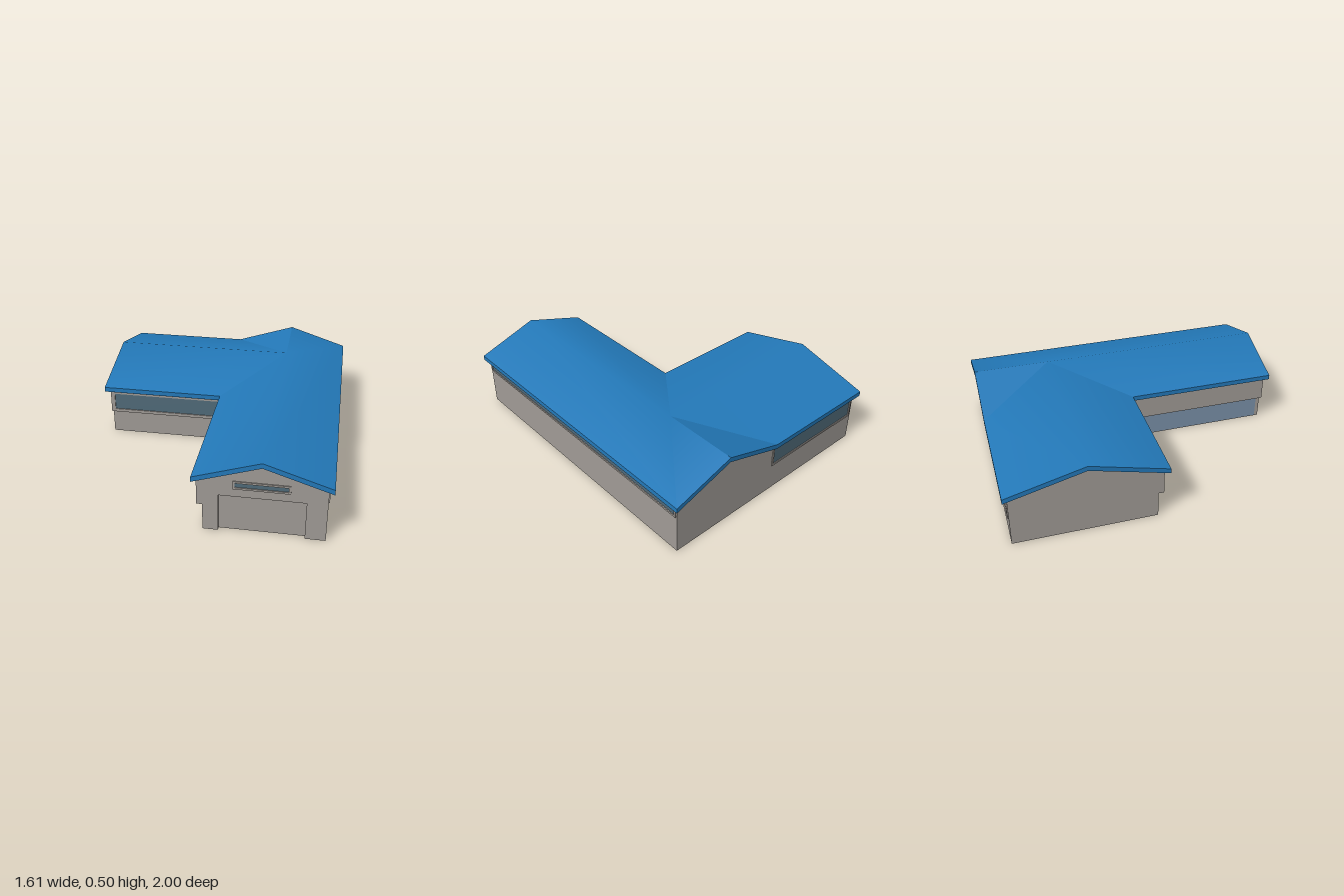
import * as THREE from 'three';

const mat = (name, color, side = THREE.DoubleSide) => {
  const m = new THREE.MeshStandardMaterial({ color, side });
  m.name = name;
  return m;
};

export function createModel() {
  const model = new THREE.Group();
  model.name = 'house';
  const wallMat = mat('warm grey wall', 0xa09b96);
  const glassMat = mat('dark window glass', 0x506a79);
  const paleGlassMat = mat('pale window glass', 0x7a90a8);
  const roofMat = mat('blue roof', 0x2379b9, THREE.FrontSide);

  const add = (name, geometry, material, parent = model) => {
    const mesh = new THREE.Mesh(geometry, material);
    mesh.name = name;
    parent.add(mesh);
    return mesh;
  };
  const polygon = (pts) => new THREE.Shape(pts.map(([u, v]) => new THREE.Vector2(u, v)));
  const rect = (u0, v0, u1, v1) => polygon([[u0, v0], [u1, v0], [u1, v1], [u0, v1]]);

  // Group whose local x runs along world x (facing z) or along world z (facing x)
  const plane = (name, axis, offset) => {
    const g = new THREE.Group();
    g.name = name;
    if (axis === 'x') {
      g.rotation.y = -Math.PI / 2;
      g.position.x = offset;
    } else g.position.z = offset;
    model.add(g);
    return g;
  };

  // Thin wall with framed windows and plain openings, given as [u0, v0, u1, v1]
  const wall = (name, axis, offset, pts, windows = [], openings = []) => {
    const g = plane(name, axis, offset);
    const shape = polygon(pts);
    [...windows, ...openings].forEach((r) => shape.holes.push(rect(...r)));
    add(name + 'Panel', new THREE.ShapeGeometry(shape), wallMat, g);
    windows.forEach(([u0, v0, u1, v1]) => {
      const b = 0.012;
      const frame = rect(u0, v0, u1, v1);
      frame.holes.push(rect(u0 + b, v0 + b, u1 - b, v1 - b));
      const geo = new THREE.ExtrudeGeometry(frame, { depth: 0.012, bevelEnabled: false });
      add('windowFrame', geo.translate(0, 0, -0.006), wallMat, g);
      add('windowGlass', new THREE.ShapeGeometry(rect(u0 + b, v0 + b, u1 - b, v1 - b)), glassMat, g);
    });
    return g;
  };

  const W = 0.775, E = 0.97, R = 0.403;   // wall half width, wall end, ridge line
  const step = 0.172, top = 0.348, peak = 0.47;
  const up = 0.025, low = 0.06;           // inner faces of upper band and recessed base

  // Front gable with garage opening
  wall('frontGable', 'z', E,
    [[low, 0], [W, 0], [W, top], [R, peak], [up, top], [up, step], [low, step]],
    [[0.235, 0.298, 0.565, 0.35]], [[0.152, 0, 0.655, 0.245]]);

  // Recessed garage door and its jambs
  const door = plane('garageDoor', 'z', E - 0.025);
  add('doorPanel', new THREE.ShapeGeometry(rect(0.152, 0, 0.655, 0.245)), wallMat, door);
  [0.152, 0.655].forEach((x) => {
    const jamb = add('doorJamb', new THREE.PlaneGeometry(0.025, 0.245), wallMat, door);
    jamb.rotation.y = Math.PI / 2;
    jamb.position.set(x, 0.1225, 0.0125);
  });
  const lintel = add('doorLintel', new THREE.PlaneGeometry(0.503, 0.025), wallMat, door);
  lintel.rotation.x = Math.PI / 2;
  lintel.position.set(0.4035, 0.245, 0.0125);

  // Back wall, long side wall and side gable
  wall('backWall', 'z', -E,
    [[-W, 0], [W, 0], [W, top], [R, peak], [0.03, top], [-W, top]],
    [[-0.76, 0.185, 0.0, 0.325]]);
  wall('longSideWall', 'x', W, [[-E, 0], [E, 0], [E, top], [-E, top]],
    [[-0.96, 0.257, 0.962, 0.33]]);
  wall('sideGable', 'x', -W,
    [[-E, 0], [-0.065, 0], [-0.065, step], [-0.03, step], [-0.03, top], [-0.5, peak], [-E, top]]);

  // Courtyard walls: overhanging upper bands over recessed bases
  wall('courtyardUpperBand', 'z', -0.03, [[-W, step], [up, step], [up, top], [-W, top]],
    [[-0.757, 0.185, 0.006, 0.325]]);
  wall('courtyardBase', 'z', -0.065, [[-W, 0], [low, 0], [low, step], [-W, step]]);
  wall('wingUpperBand', 'x', up, [[-0.03, step], [E, step], [E, top], [-0.03, top]]);
  const glazed = [-0.035, 0.004, 0.945, 0.168];
  const base = wall('wingBase', 'x', low, [[-0.065, 0], [E, 0], [E, step], [-0.065, step]], [], [glazed]);
  add('lowerGlass', new THREE.ShapeGeometry(rect(...glazed)), paleGlassMat, base);

  // Soffits closing the step between base and band
  [[-W, -0.065, low, -0.03], [up, -0.03, low, E]].forEach(([x0, z0, x1, z1]) => {
    const s = add('soffit', new THREE.PlaneGeometry(x1 - x0, z1 - z0), wallMat);
    s.rotation.x = Math.PI / 2;
    s.position.set((x0 + x1) / 2, step, (z0 + z1) / 2);
  });

  // Roof corners: eaves, ridges and the two valleys
  const e = 0.37, r = 0.5, X = 0.806, t = 0.032;
  const P = [
    [0, e, 1], [R, r, 1], [X, e, 1], [0, e, 0], [R, r, -0.5], [R, r, -1],
    [X, e, -1], [0, e, -1], [-X, e, 0], [-X, r, -0.5], [-X, e, -1],
  ];
  const surface = (tris, drop, flip) => {
    const geo = new THREE.BufferGeometry();
    const ids = [...new Set(tris.flat())];
    const pos = ids.flatMap((i) => [P[i][0], P[i][1] - drop, P[i][2]]);
    geo.setAttribute('position', new THREE.Float32BufferAttribute(pos, 3));
    geo.setIndex(tris.flatMap((f) => (flip ? [...f].reverse() : f)).map((i) => ids.indexOf(i)));
    geo.computeVertexNormals();
    return geo;
  };
  const roof = new THREE.Group();
  roof.name = 'roof';
  model.add(roof);
  const slopes = {
    longWing: [[0, 1, 4], [0, 4, 3], [1, 2, 6], [1, 6, 4], [4, 6, 5]],
    shortWing: [[8, 3, 4], [8, 4, 9], [9, 4, 7], [9, 7, 10]],
    backCorner: [[7, 4, 5]],
  };
  for (const [name, tris] of Object.entries(slopes)) {
    add(name + 'Roof', surface(tris, 0, false), roofMat, roof);
    add(name + 'Ceiling', surface(tris, t, true), roofMat, roof);
  }

  // Fascia around the roof edge
  const rim = [0, 1, 2, 6, 5, 7, 10, 9, 8, 3];
  const pos = rim.flatMap((i, k) => {
    const a = P[i], b = P[rim[(k + 1) % rim.length]];
    const a2 = [a[0], a[1] - t, a[2]], b2 = [b[0], b[1] - t, b[2]];
    return [a2, b2, b, a2, b, a].flat();
  });
  const fascia = new THREE.BufferGeometry();
  fascia.setAttribute('position', new THREE.Float32BufferAttribute(pos, 3));
  fascia.computeVertexNormals();
  add('fascia', fascia, roofMat, roof);

  return model;
}
